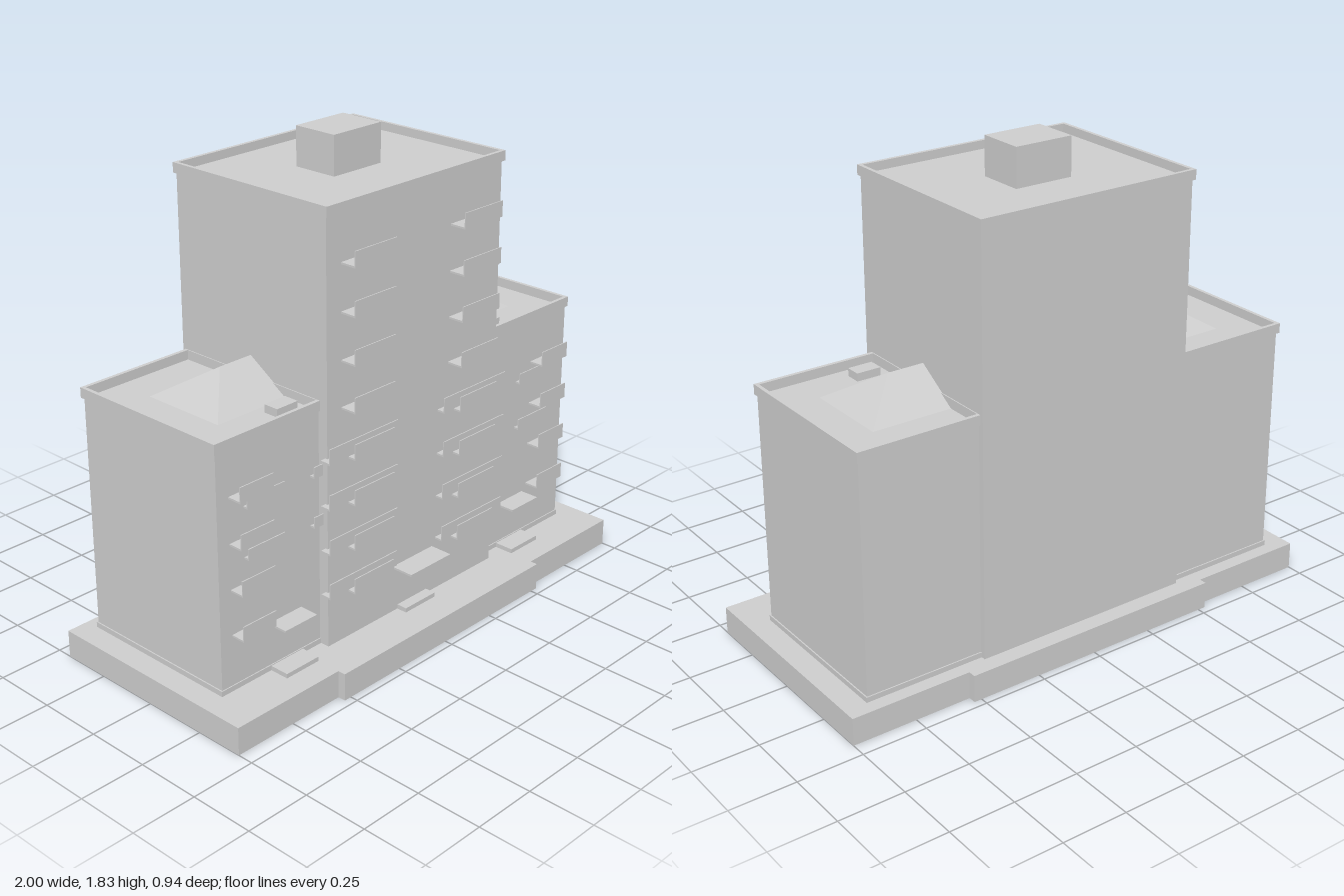
import * as THREE from 'three';
import { ConvexGeometry } from 'three/addons/geometries/ConvexGeometry.js';

const concrete = new THREE.MeshStandardMaterial({ color: 0xcccccc });
concrete.name = 'concrete grey';

export function createModel() {
  const model = new THREE.Group();
  model.name = 'apartmentBlock';

  // Box given by its limits on each axis
  function box(name, x0, x1, y0, y1, z0, z1, parent = model) {
    const mesh = new THREE.Mesh(new THREE.BoxGeometry(x1 - x0, y1 - y0, z1 - z0), concrete);
    mesh.position.set((x0 + x1) / 2, (y0 + y1) / 2, (z0 + z1) / 2);
    mesh.name = name;
    parent.add(mesh);
    return mesh;
  }

  // Thin rim around a flat roof
  function parapet(name, x0, x1, y0, y1, z0, z1) {
    const t = 0.014;
    const shape = new THREE.Shape([[x0, z0], [x1, z0], [x1, z1], [x0, z1]]
      .map(([x, z]) => new THREE.Vector2(x, -z)));
    shape.holes.push(new THREE.Path([[x0 + t, z0 + t], [x0 + t, z1 - t], [x1 - t, z1 - t], [x1 - t, z0 + t]]
      .map(([x, z]) => new THREE.Vector2(x, -z))));
    const geo = new THREE.ExtrudeGeometry(shape, { depth: y1 - y0, bevelEnabled: false });
    geo.rotateX(-Math.PI / 2);
    const mesh = new THREE.Mesh(geo, concrete);
    mesh.position.y = y0;
    mesh.name = name;
    model.add(mesh);
  }

  // Balcony: floor slab and a thin front rail, open at the ends
  function balcony(name, x0, x1, y, wall, front, height = 0.055) {
    const g = new THREE.Group();
    g.name = name;
    box('balconyFloor', x0, x1, y - 0.004, y + 0.003, wall - 0.01, front, g);
    box('balconyRail', x0, x1, y, y + height, front - 0.004, front, g);
    model.add(g);
  }

  // Stepped base
  box('base', -1, 1, 0, 0.105, -0.44, 0.44);
  box('baseCentre', -0.53, 0.53, 0, 0.105, -0.47, 0.47);

  // Central tower
  box('tower', -0.44, 0.44, 0.1, 1.685, -0.405, 0.305);
  parapet('towerParapet', -0.447, 0.447, 1.68, 1.717, -0.415, 0.315);
  box('roofHouse', -0.117, 0.115, 1.68, 1.83, -0.15, 0.03);

  for (const s of [-1, 1]) {
    const span = (a, b) => [Math.min(s * a, s * b), Math.max(s * a, s * b)];

    // Side wing with plinth, rim and rooftop unit
    box('wing', ...span(0.43, 0.907), 0.1, 1.0, -0.383, 0.265);
    box('wingPlinth', ...span(0.43, 0.912), 0.1, 0.125, -0.388, 0.269);
    parapet('wingParapet', ...span(0.43, 0.915), 0.998, 1.036, -0.392, 0.272);
    box('roofUnit', ...span(0.482, 0.577), 0.995, 1.03, 0.15, 0.21);

    // Hipped roof leaning against the tower
    const points = [[0.43, 0.995, 0.12], [0.43, 0.995, -0.235], [0.76, 0.995, 0.12],
      [0.76, 0.995, -0.235], [0.43, 1.107, -0.057], [0.583, 1.107, -0.057]];
    const hip = new THREE.Mesh(
      new ConvexGeometry(points.map(([x, y, z]) => new THREE.Vector3(s * x, y, z))), concrete);
    hip.name = 'hipRoof';
    model.add(hip);

    // Tower balconies on eight floors, wider ones behind on the lower four
    for (let i = 0; i < 8; i++) {
      const y = 0.315 + i * 0.1705;
      balcony('towerBalcony', ...span(0.173, 0.372), y, 0.305, 0.37);
      if (i > 3) continue;
      balcony('wideBalcony', ...span(0.122, 0.462), y + 0.002, 0.305, 0.338);
      balcony('wingBalcony', ...span(0.705, 0.855), y, 0.265, 0.322);
    }

    // Small window ledges on the wings
    for (const y of [0.582, 0.77]) {
      balcony('windowLedge', ...span(0.62, 0.79).map((x) => x), y, 0.265, 0.285, 0.038);
      balcony('innerLedge', ...span(0.43, 0.482), y, 0.265, 0.285, 0.038);
    }

    // Side entrance
    box('sideCanopy', ...span(0.532, 0.683), 0.281, 0.289, 0.26, 0.342);
    box('sideStep', ...span(0.53, 0.683), 0.1, 0.122, 0.26, 0.345);
  }

  // Main entrance
  box('mainCanopy', -0.108, 0.105, 0.281, 0.289, 0.3, 0.395);
  box('mainStep', -0.08, 0.077, 0.1, 0.122, 0.3, 0.347);

  return model;
}
